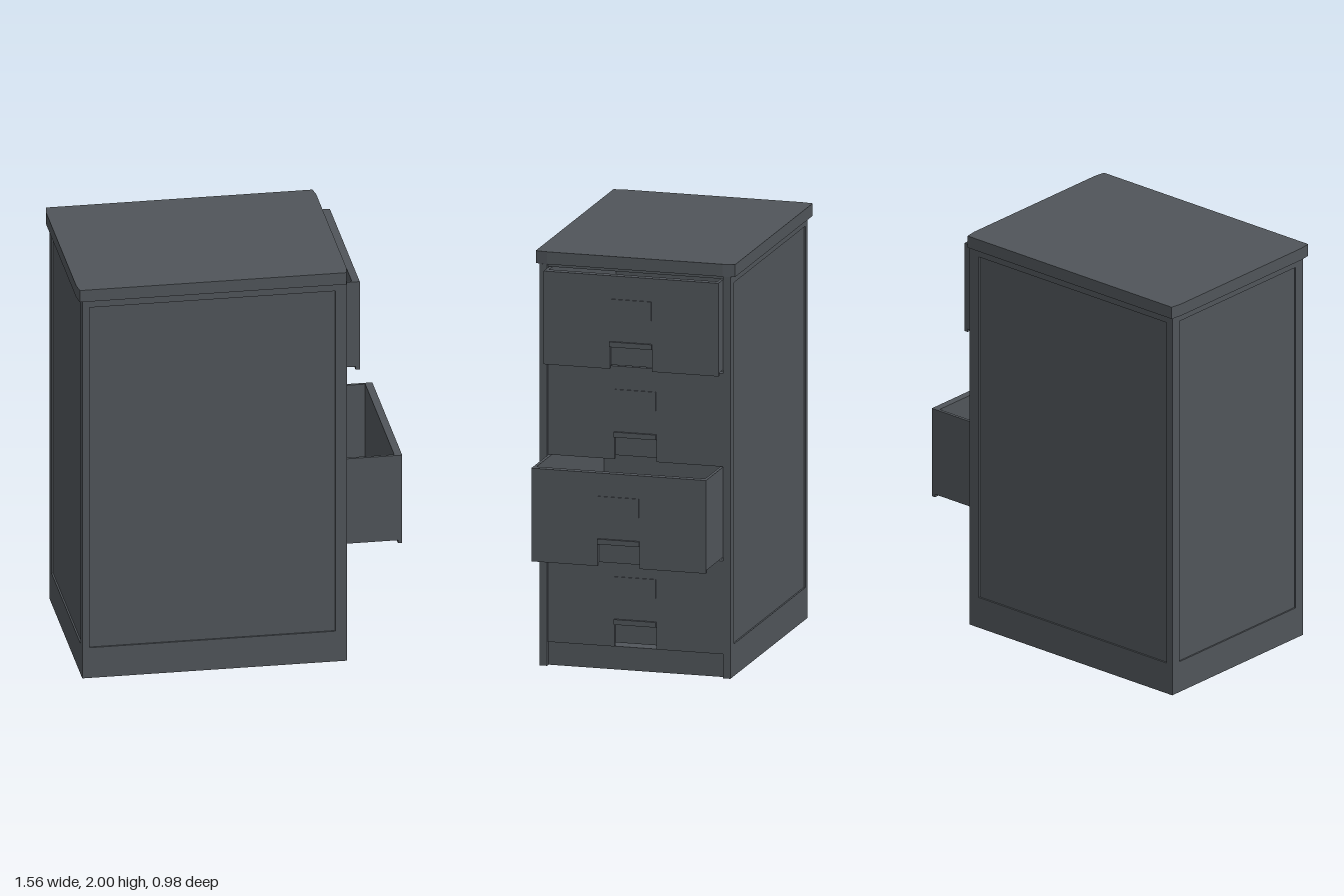
import * as THREE from 'three';

const steel = new THREE.MeshStandardMaterial({ color: 0x50555a });
steel.name = 'charcoal steel';

// Box given by its min and max corners
function box(name, x0, x1, y0, y1, z0, z1) {
  const geo = new THREE.BoxGeometry(x1 - x0, y1 - y0, z1 - z0);
  geo.translate((x0 + x1) / 2, (y0 + y1) / 2, (z0 + z1) / 2);
  const mesh = new THREE.Mesh(geo, steel);
  mesh.name = name;
  return mesh;
}

function polygon(points, Type = THREE.Shape) {
  return new Type(points.map(([x, y]) => new THREE.Vector2(x, y)));
}

const rect = (x0, x1, y0, y1) => [[x0, y0], [x1, y0], [x1, y1], [x0, y1]];

function extrude(name, shape, depth) {
  const geo = new THREE.ExtrudeGeometry(shape, { depth, bevelEnabled: false });
  const mesh = new THREE.Mesh(geo, steel);
  mesh.name = name;
  return mesh;
}

// Thin sheet with a large window, which leaves a shallow recessed panel
function borderSheet(name, outer, inner, depth) {
  const shape = polygon(rect(...outer));
  shape.holes.push(polygon(rect(...inner), THREE.Path));
  return extrude(name, shape, depth);
}

const BACK = -0.76, FRONT = 0.5, HALF = 0.467, TOP = 1.94, SKIN = 0.008;
const DRAWER_HALF = 0.428, DRAWER_H = 0.45, PITCH = 0.4525, FIRST = 0.115;

function cabinet() {
  const g = new THREE.Group();
  g.name = 'cabinet';
  const inner = HALF - SKIN;

  // Side walls with recessed panels
  for (const s of [1, -1]) {
    const [a, b] = [s * (DRAWER_HALF + 0.003), s * inner].sort((p, q) => p - q);
    g.add(box('sideWall', BACK + SKIN, FRONT, 0, TOP, a, b));
    const sheet = borderSheet('sideBorder', [BACK + SKIN, FRONT, 0, TOP], [-0.725, 0.443, 0.155, 1.9], SKIN);
    sheet.position.z = s > 0 ? inner : -HALF;
    g.add(sheet);
  }

  // Back wall with recessed panel
  g.add(box('backWall', BACK + SKIN, BACK + 0.035, 0, TOP, -inner, inner));
  const back = borderSheet('backBorder', [-HALF, HALF, 0, TOP], [-0.415, 0.415, 0.155, 1.9], SKIN);
  back.rotation.y = Math.PI / 2;
  back.position.x = BACK;
  g.add(back);

  // Plinth below the drawers and rail above them
  g.add(box('plinth', BACK + 0.03, 0.475, 0, FIRST - 0.003, -0.432, 0.432));
  g.add(box('topRail', BACK + 0.03, 0.485, 1.925, TOP, -0.432, 0.432));

  // Overhanging lid with slightly chamfered corners
  const lid = extrude('lid', polygon([
    [-0.783, -0.43], [-0.775, -0.488], [0.494, -0.488], [0.502, -0.43],
    [0.502, 0.43], [0.494, 0.488], [-0.775, 0.488], [-0.783, 0.43],
  ]), 2 - TOP);
  lid.rotation.x = -Math.PI / 2;
  lid.position.y = TOP;
  g.add(lid);
  return g;
}

// Open-topped drawer; local x = 0 is its front face, local y = 0 its lower edge
function drawer() {
  const g = new THREE.Group();
  g.name = 'drawer';
  const w = DRAWER_HALF, h = DRAWER_H, wall = 0.015, rear = -1.15;

  // Front plate with a finger notch in its lower edge
  const front = extrude('drawerFront', polygon([
    [-w, 0], [-0.103, 0], [-0.103, 0.108], [0.103, 0.108],
    [0.103, 0], [w, 0], [w, h], [-w, h],
  ]), 0.02);
  front.rotation.y = Math.PI / 2;
  front.position.x = -0.02;
  g.add(front);

  // Tray
  g.add(box('drawerInnerFront', -0.036, -0.02, wall, h, -w, w));
  g.add(box('drawerFloor', rear, -0.036, wall, 2 * wall, -w, w));
  g.add(box('drawerBack', rear, rear + wall, 2 * wall, h, -w, w));
  g.add(box('drawerLeftSide', rear + wall, -0.036, 2 * wall, h, w - wall, w));
  g.add(box('drawerRightSide', rear + wall, -0.036, 2 * wall, h, -w, wall - w));

  // Pull bar over the notch and label plate above it
  g.add(box('pullBar', -0.018, 0.012, 0.108, 0.133, -0.103, 0.103));
  g.add(box('labelPlate', -0.003, 0.005, 0.247, 0.338, -0.1, 0.1));
  return g;
}

export function createModel() {
  const model = new THREE.Group();
  model.name = 'filingCabinet';
  model.add(cabinet());

  // Front face position of each drawer, bottom to top
  [0.494, 0.768, 0.494, 0.566].forEach((x, i) => {
    // The second lowest and the topmost stand open
    const d = drawer();
    d.position.set(x, FIRST + i * PITCH, 0);
    model.add(d);
  });
  return model;
}
